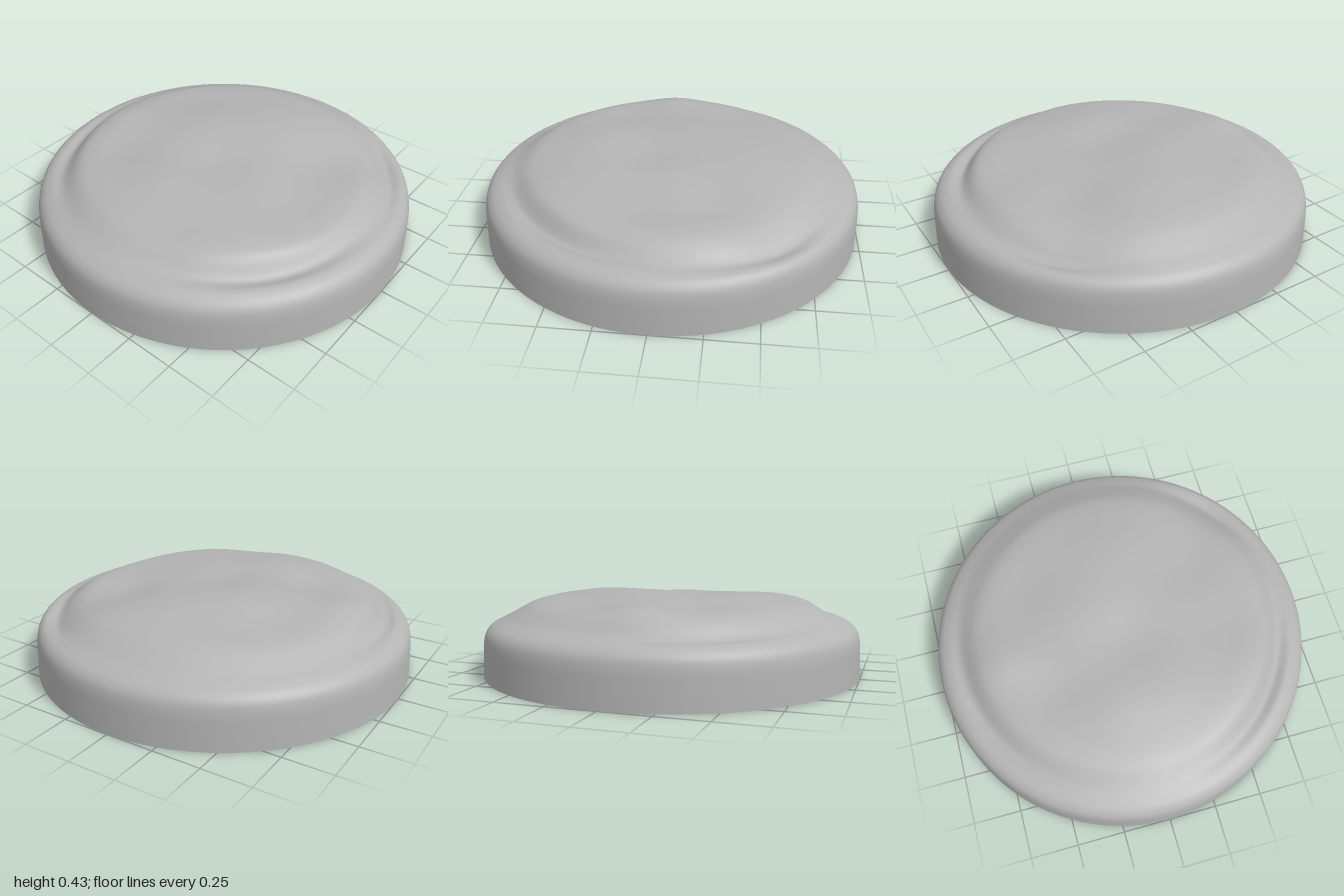
import * as THREE from 'three';

const SEGMENTS = 144;

// Radius and height from the crown of the mound down to the foot of the wall
const PROFILE = [
  [0, 0.408], [0.15, 0.409], [0.3, 0.408], [0.45, 0.403], [0.58, 0.393], [0.68, 0.382], [0.75, 0.365],
  [0.81, 0.335], [0.87, 0.302], [0.92, 0.278], [0.955, 0.258], [0.98, 0.228], [0.992, 0.185], [0.997, 0.1], [1, 0],
];

// Soft hills and hollows: x, z, radius, height
const BUMPS = [
  [-0.2, -0.12, 0.24, 0.022],
  [0.05, -0.42, 0.22, 0.015],
  [-0.08, 0.42, 0.2, 0.016],
  [-0.66, 0.05, 0.14, 0.02],
  [-0.45, -0.3, 0.18, -0.012],
  [0.05, 0.12, 0.16, -0.014],
  [-0.42, 0.28, 0.15, -0.014],
  [0.45, -0.25, 0.2, -0.032],
  [0.6, -0.55, 0.22, -0.03],
  [0.55, 0.1, 0.25, -0.028],
  [0.2, 0.7, 0.16, -0.012],
];

// Grooves around the mound edge: angle, angular width, radius, radial width, depth
const GROOVES = [
  [0.62, 0.55, 0.84, 0.045, 0.045],
  [2.75, 0.6, 0.85, 0.05, 0.035],
  [-0.55, 0.45, 0.88, 0.05, 0.02],
];

const bell = (d, width) => Math.exp(-((d / width) ** 2));

function relief(x, z) {
  const r = Math.hypot(x, z);
  const angle = Math.atan2(z, x);
  let h = 0;
  for (const [bx, bz, width, height] of BUMPS) h += height * bell(Math.hypot(x - bx, z - bz), width);
  for (const [a, spread, radius, width, depth] of GROOVES) {
    const d = Math.atan2(Math.sin(angle - a), Math.cos(angle - a));
    h -= depth * bell(d, spread) * bell(r - radius, width);
  }
  return h * (1 - THREE.MathUtils.smoothstep(r, 0.88, 0.98));
}

// Closed rings stitched from the centre outward
function createMoundGeometry() {
  const curve = new THREE.CatmullRomCurve3(PROFILE.map(([r, y]) => new THREE.Vector3(r, y, 0)), false, 'centripetal');
  const rings = curve.getPoints(84).slice(1);
  const positions = [0, PROFILE[0][1] + relief(0, 0), 0];
  const index = [];
  rings.forEach((p, i) => {
    for (let j = 0; j < SEGMENTS; j++) {
      const a = (j / SEGMENTS) * Math.PI * 2;
      const x = p.x * Math.cos(a);
      const z = p.x * Math.sin(a);
      positions.push(x, p.y + relief(x, z), z);
      const next = (j + 1) % SEGMENTS;
      const c = 1 + i * SEGMENTS + j;
      const d = 1 + i * SEGMENTS + next;
      if (i === 0) {
        index.push(0, d, c);
      } else {
        index.push(c - SEGMENTS, d, c, c - SEGMENTS, d - SEGMENTS, d);
      }
    }
  });
  const geometry = new THREE.BufferGeometry();
  geometry.setAttribute('position', new THREE.Float32BufferAttribute(positions, 3));
  geometry.setIndex(index);
  geometry.computeVertexNormals();
  return geometry;
}

export function createModel() {
  const grey = new THREE.MeshStandardMaterial({ color: 0xb4b4b4 });
  grey.name = 'stone grey';
  const model = new THREE.Group();
  model.name = 'roundTerrainBase';

  // Wall and undulating top
  const mound = new THREE.Mesh(createMoundGeometry(), grey);
  mound.name = 'moundAndWall';
  model.add(mound);

  // Flat underside
  const underside = new THREE.Mesh(new THREE.CircleGeometry(1, SEGMENTS), grey);
  underside.rotation.x = Math.PI / 2;
  underside.name = 'underside';
  model.add(underside);

  return model;
}
